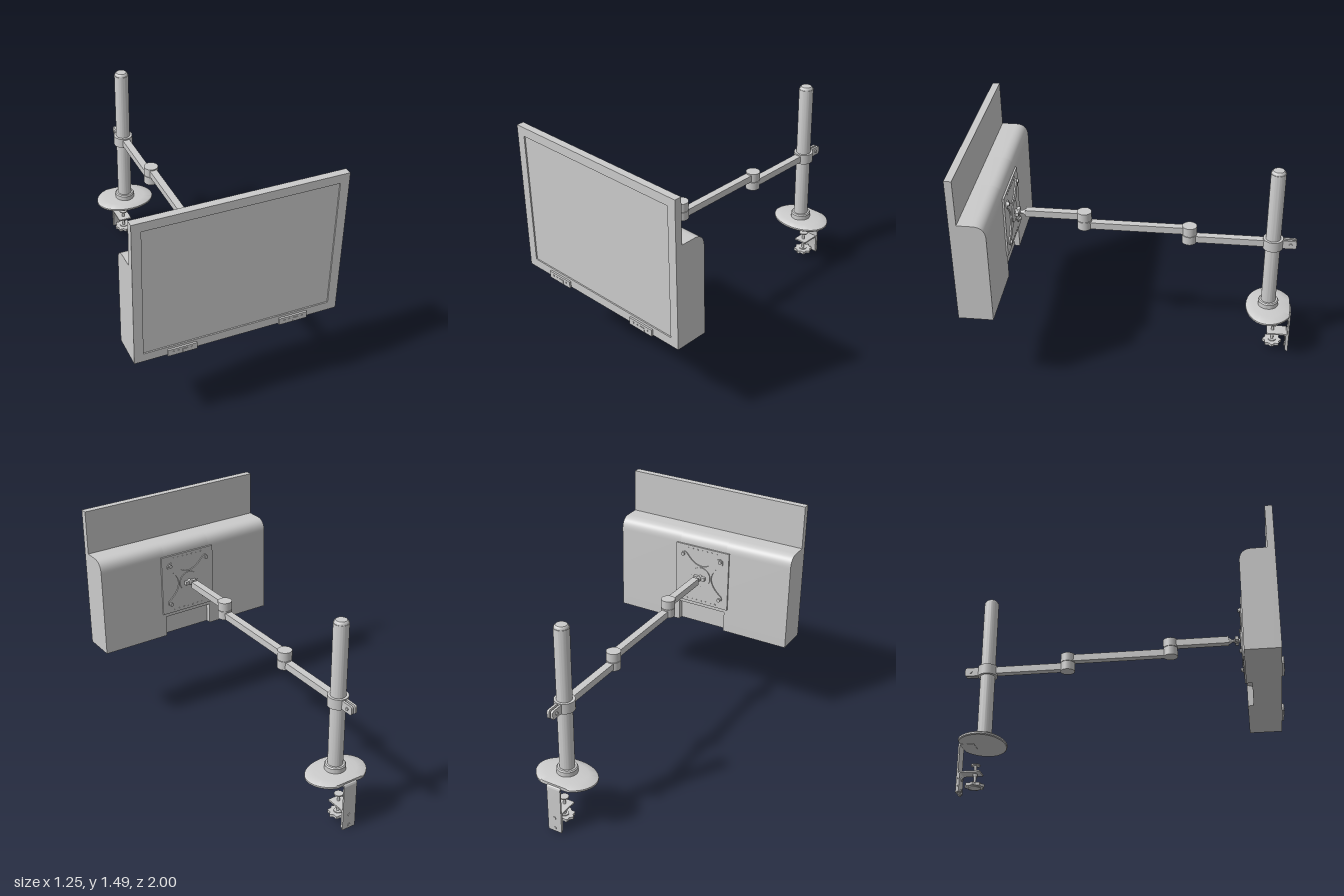
import * as THREE from 'three';
import { toCreasedNormals } from 'three/addons/utils/BufferGeometryUtils.js';

const grey = new THREE.MeshStandardMaterial({ color: 0xcccccc });

export function createModel() {
  const model = new THREE.Group();

  const add = (name, geometry, x = 0, y = 0, z = 0) => {
    const mesh = new THREE.Mesh(geometry, grey);
    mesh.name = name;
    mesh.position.set(x, y, z);
    model.add(mesh);
    return mesh;
  };
  const box = (name, w, h, d, x, y, z) => add(name, new THREE.BoxGeometry(w, h, d), x, y, z);
  const cyl = (name, r, y0, y1, x, z) =>
    add(name, new THREE.CylinderGeometry(r, r, y1 - y0, 40), x, (y0 + y1) / 2, z);
  // cylinder lying along z
  const disc = (name, r, z0, z1, x, y) =>
    add(name, new THREE.CylinderGeometry(r, r, z1 - z0, 32).rotateX(Math.PI / 2), x, y, (z0 + z1) / 2);
  const extrude = (shape, depth) => toCreasedNormals(
    new THREE.ExtrudeGeometry(shape, { depth, bevelEnabled: false, curveSegments: 12 }), 0.6);
  // side profile drawn in (z, y), extruded between x0 and x1
  const profile = (name, shape, x0, x1) =>
    add(name, extrude(shape, x1 - x0).rotateY(-Math.PI / 2), x1);
  const lathe = (pts) => toCreasedNormals(
    new THREE.LatheGeometry(pts.map(p => new THREE.Vector2(...p)), 48), 0.6);
  const rect = (path, x0, y0, x1, y1) =>
    path.moveTo(x0, y0).lineTo(x1, y0).lineTo(x1, y1).lineTo(x0, y1).closePath();

  // Monitor: bezel frame and recessed screen
  const bezel = new THREE.Shape();
  rect(bezel, -0.625, 0.56, 0.625, 1.495);
  const opening = new THREE.Path();
  rect(opening, -0.57, 0.615, 0.57, 1.44);
  bezel.holes.push(opening);
  add('bezel', extrude(bezel, 0.045), 0, 0, 0.94);
  box('screen', 1.145, 0.83, 0.037, 0, 1.0275, 0.9585);

  // Rear housing with rounded top, and a notch in the middle of its lower edge
  const housing = (notch) => {
    const s = new THREE.Shape().moveTo(0.94, 0.56).lineTo(0.94, 1.21).lineTo(0.85, 1.21);
    s.bezierCurveTo(0.8, 1.21, 0.775, 1.18, 0.775, 1.13);
    if (notch) s.lineTo(0.775, 0.7).lineTo(0.81, 0.69).lineTo(0.81, 0.56);
    else s.lineTo(0.775, 0.56);
    return s.closePath();
  };
  profile('housingRight', housing(false), -0.625, -0.17);
  profile('housingMiddle', housing(true), -0.17, 0.17);
  profile('housingLeft', housing(false), 0.17, 0.625);

  // Front control strips with small buttons
  for (const side of [-1, 1]) {
    const x = side * 0.3425;
    box('controlStrip', 0.175, 0.043, 0.013, x, 0.5775, 0.99);
    box('mainButton', 0.032, 0.026, 0.004, x + 0.015, 0.572, 0.998);
    for (const dx of [-0.055, -0.025, 0.055]) disc('smallButton', 0.005, 0.994, 1.0, x + dx, 0.581);
  }

  // Mounting pad, cross bracket and bolts
  const midY = 0.93;
  box('mountingPad', 0.39, 0.41, 0.012, 0, midY, 0.77);
  const cross = new THREE.Shape();
  for (let i = 0; i < 4; i++) {
    const a = Math.PI / 4 + i * Math.PI / 2, c = Math.cos(a), s = Math.sin(a), w = 0.025;
    const start = [0.185 * c + w * s, 0.185 * s - w * c];
    if (i === 0) cross.moveTo(...start);
    cross.absarc(0.185 * c, 0.185 * s, w, a - Math.PI / 2, a + Math.PI / 2, false);
    const next = a + Math.PI / 2, cn = Math.cos(next), sn = Math.sin(next);
    cross.quadraticCurveTo(0, 0, 0.185 * cn + w * sn, 0.185 * sn - w * cn);
  }
  add('crossBracket', extrude(cross, 0.01), 0, midY, 0.756);
  for (const sx of [-1, 1]) for (const sy of [-1, 1])
    disc('bracketBolt', 0.012, 0.745, 0.76, sx * 0.138, midY + sy * 0.138);
  for (const sy of [-1, 1]) for (let i = -3; i <= 3; i++)
    disc('padRivet', 0.005, 0.761, 0.766, i * 0.035, midY + sy * 0.185);
  disc('bracketHub', 0.068, 0.75, 0.76, 0, midY);

  // Swivel head between bracket and arm
  const head = lathe([[0, 0.664], [0.02, 0.664], [0.02, 0.685], [0.01, 0.7], [0.01, 0.712], [0.017, 0.718],
    [0.017, 0.73], [0.01, 0.737], [0.016, 0.752], [0, 0.752]]).rotateX(Math.PI / 2);
  add('swivelHead', head, 0, midY, 0);
  box('swivelCrossbar', 0.08, 0.024, 0.022, 0, midY, 0.731);

  // Three arm bars and two stacked elbows, stepping down towards the pole
  const bar = (z0, z1, y) => box('armBar', 0.046, 0.044, z1 - z0, 0, y, (z0 + z1) / 2);
  bar(0.315, 0.68, 0.932);
  bar(-0.335, 0.315, 0.87);
  bar(-0.82, -0.335, 0.815);
  for (const [z, y0, ym, y1] of [[0.315, 0.845, 0.903, 0.96], [-0.335, 0.785, 0.842, 0.9]]) {
    cyl('elbowLower', 0.045, y0, ym - 0.002, 0, z);
    cyl('elbowPin', 0.04, ym - 0.003, ym + 0.003, 0, z);
    cyl('elbowUpper', 0.045, ym + 0.002, y1, 0, z);
  }

  // Pole with rounded cap, and its foot collar
  const poleZ = -0.848;
  add('pole', lathe([[0, 0.33], [0.046, 0.33], [0.046, 1.302], [0.043, 1.302], [0.041, 1.312],
    [0.033, 1.32], [0, 1.322]]), 0, 0, poleZ);
  add('footCollar', lathe([[0.046, 0.335], [0.064, 0.335], [0.064, 0.378], [0.058, 0.386], [0.046, 0.386]]), 0, 0, poleZ);

  // Sliding pole clamp with two rounded ears and a tightening bolt
  cyl('poleClamp', 0.062, 0.78, 0.846, 0, poleZ);
  const ear = new THREE.Shape().moveTo(-0.89, 0.785).lineTo(-0.975, 0.785)
    .quadraticCurveTo(-0.992, 0.785, -0.992, 0.8).lineTo(-0.992, 0.826)
    .quadraticCurveTo(-0.992, 0.841, -0.975, 0.841).lineTo(-0.89, 0.841).closePath();
  for (const sx of [-1, 1])
    profile('clampEar', ear, sx < 0 ? -0.02 : 0.006, sx < 0 ? -0.006 : 0.02);
  add('clampBolt', new THREE.CylinderGeometry(0.01, 0.01, 0.054, 16).rotateZ(Math.PI / 2), 0, 0.813, -0.955);

  // Oval domed base, cut flat at the back
  const base = new THREE.LatheGeometry([[0, 0.315], [0.97, 0.315], [1, 0.32], [1, 0.331], [0.96, 0.336],
    [0.7, 0.343], [0.4, 0.348], [0, 0.349]].map(p => new THREE.Vector2(...p)), 72);
  const p = base.attributes.position;
  for (let i = 0; i < p.count; i++) {
    const z = p.getZ(i);
    p.setX(i, p.getX(i) * 0.197);
    p.setZ(i, z > 0 ? z * 0.14 : Math.max(z * 0.16, -0.137));
  }
  add('base', toCreasedNormals(base, 0.6), 0, 0, poleZ);

  // Desk clamp: bent back plate and lower shelf
  const backPlate = new THREE.Shape().moveTo(-0.9, 0.325).lineTo(-0.98, 0.325)
    .quadraticCurveTo(-0.996, 0.325, -0.996, 0.308).lineTo(-0.996, 0.006).lineTo(-0.986, 0.006)
    .lineTo(-0.986, 0.305).quadraticCurveTo(-0.986, 0.313, -0.976, 0.313).lineTo(-0.9, 0.313).closePath();
  profile('clampBackPlate', backPlate, -0.046, 0.046);
  const shelf = new THREE.Shape().moveTo(-0.853, 0.131).lineTo(-0.853, 0.141).lineTo(-0.97, 0.141)
    .quadraticCurveTo(-0.986, 0.141, -0.986, 0.125).lineTo(-0.986, 0.015).lineTo(-0.977, 0.015)
    .lineTo(-0.977, 0.122).quadraticCurveTo(-0.977, 0.131, -0.967, 0.131).closePath();
  profile('clampShelf', shelf, -0.044, 0.044);
  for (const y of [0.028, 0.1]) disc('plateBolt', 0.01, -1.0, -0.97, 0, y);

  // Clamping screw with pressure pad, nut and scalloped knob
  const screwZ = -0.892;
  cyl('clampScrew', 0.009, 0.05, 0.188, 0, screwZ);
  cyl('pressurePad', 0.028, 0.184, 0.192, 0, screwZ);
  add('screwNut', new THREE.CylinderGeometry(0.016, 0.016, 0.018, 6), 0, 0.122, screwZ);
  const lobes = [];
  for (let i = 0; i < 64; i++) {
    const a = i / 64 * Math.PI * 2, r = 0.055 + 0.006 * Math.cos(8 * a);
    lobes.push(new THREE.Vector2(r * Math.cos(a), r * Math.sin(a)));
  }
  add('clampKnob', extrude(new THREE.Shape(lobes), 0.018).rotateX(-Math.PI / 2), 0, 0.046, screwZ);
  cyl('knobFoot', 0.038, 0.04, 0.047, 0, screwZ);
  cyl('knobHub', 0.025, 0.063, 0.07, 0, screwZ);

  return model;
}
